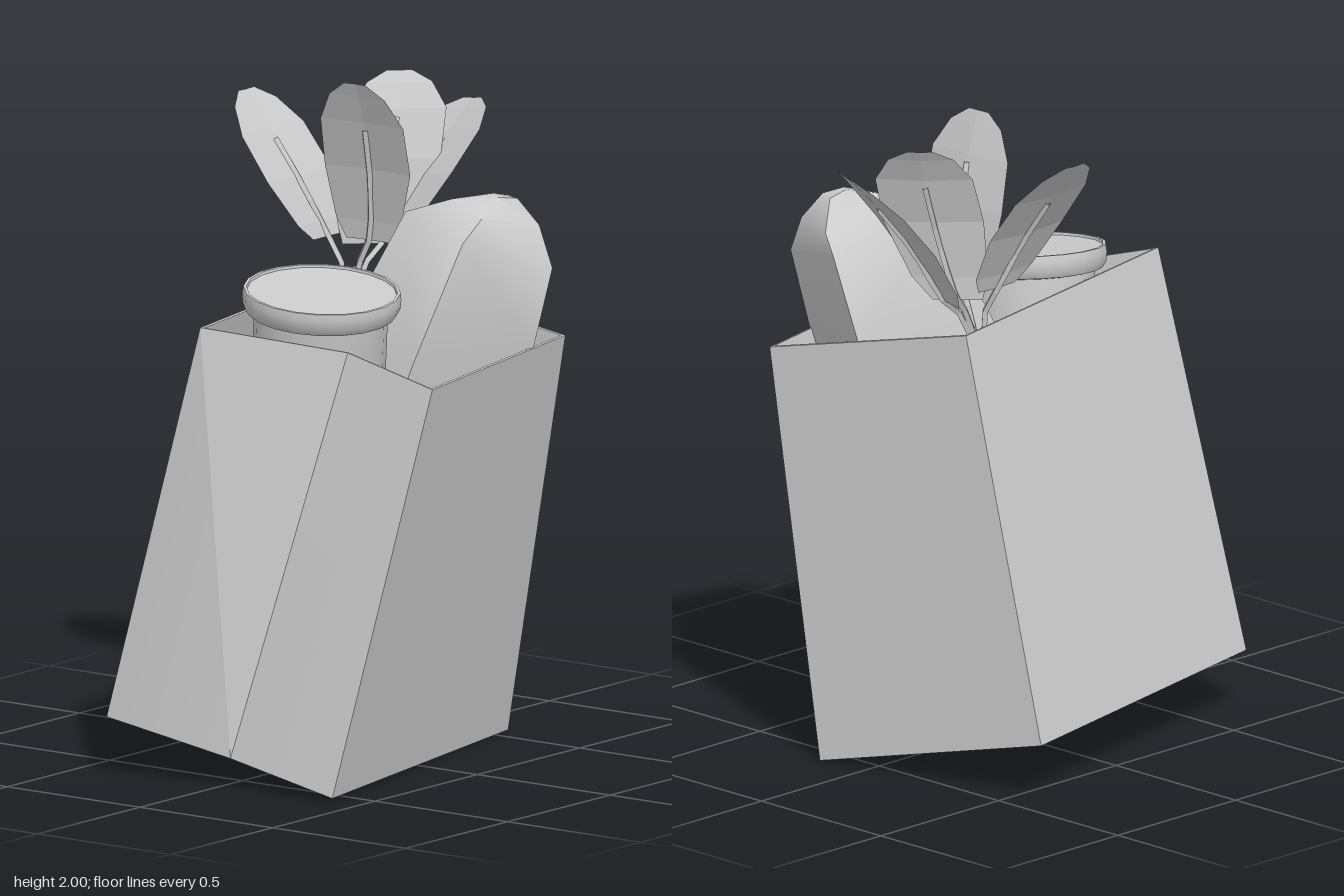
import * as THREE from 'three';
import { toCreasedNormals } from 'three/addons/utils/BufferGeometryUtils.js';

const V = (x, y, z) => new THREE.Vector3(x, y, z);
const smooth = () => new THREE.MeshStandardMaterial({ color: 0xcccccc, side: THREE.DoubleSide });
const thin = () => new THREE.MeshStandardMaterial({ color: 0xcccccc, flatShading: true, side: THREE.DoubleSide });

function named(name, geometry, material) {
  const mesh = new THREE.Mesh(geometry, material);
  mesh.name = name;
  return mesh;
}

function fromTriangles(points, index) {
  const g = new THREE.BufferGeometry().setFromPoints(points);
  g.setIndex(index);
  const out = g.toNonIndexed();
  out.computeVertexNormals();
  return out;
}

// Closed rings, counterclockwise from above, joined in order and capped at both ends.
// Each quad is split along its shorter diagonal, so inner and outer walls agree.
function loft(rings) {
  const n = rings[0].length;
  const points = rings.flat();
  const index = [];
  for (let r = 0; r < rings.length - 1; r++) {
    for (let i = 0; i < n; i++) {
      const a = r * n + i, b = r * n + (i + 1) % n, c = b + n, d = a + n;
      if (points[a].distanceTo(points[c]) < points[b].distanceTo(points[d])) index.push(a, b, c, a, c, d);
      else index.push(a, b, d, b, c, d);
    }
  }
  const last = (rings.length - 1) * n;
  for (let i = 1; i < n - 1; i++) {
    index.push(0, i + 1, i, last, last + i, last + i + 1);
  }
  return fromTriangles(points, index);
}

// Ring pulled towards its own centre, for the inner wall of the bag
function inset(ring, amount, lift) {
  const c = ring.reduce((s, p) => s.add(p), V(0, 0, 0)).divideScalar(ring.length);
  return ring.map(p => p.clone().lerp(c, amount).add(V(0, lift, 0)));
}

// Leaf blade along a bent midrib, with a slight fold across it
function leafBlade(curve, side, halfWidth) {
  const widths = [[0, 0.5], [0.12, 0.76], [0.45, 1], [0.75, 0.97], [0.92, 0.65], [1, 0.25]];
  const points = [], index = [];
  widths.forEach(([t, w], r) => {
    const p = curve.getPoint(t);
    const fold = side.clone().cross(curve.getTangent(t)).multiplyScalar(0.06 * halfWidth * w);
    for (const s of [-1, 0, 1]) {
      const q = p.clone().addScaledVector(side, s * w * halfWidth);
      points.push(s ? q.add(fold) : q);
    }
    if (r) for (const k of [0, 1]) {
      const a = (r - 1) * 3 + k;
      index.push(a, a + 1, a + 4, a, a + 4, a + 3);
    }
  });
  return fromTriangles(points, index);
}

export function createModel() {
  const model = new THREE.Group();
  model.name = 'groceryBag';

  // Leaning paper bag, with a folded gusset on one side
  const bottom = [V(-0.61, 0.09, 0.04), V(-0.605, 0.015, 0.42), V(0.585, 0, 0.165), V(0.42, 0.175, -0.6), V(-0.69, 0.18, -0.365)];
  const top = [V(-0.335, 1.31, 0.27), V(-0.345, 1.24, 0.597), V(0.56, 1.235, 0.4), V(0.415, 1.385, -0.28), V(-0.615, 1.39, -0.07)];
  const bag = loft([bottom, top, inset(top, 0.024, 0), inset(bottom, 0.024, 0.015)]);
  model.add(named('paperBag', toCreasedNormals(bag, 0.5), smooth()));

  // Jar with a rounded lid
  const profile = [[0, -1], [0.18, -1], [0.2, -0.97], [0.2, -0.075], [0.223, -0.07],
    [0.236, -0.05], [0.238, -0.02], [0.235, 0], [0.226, 0], [0.224, -0.008], [0, -0.008]];
  const jar = named('jar', toCreasedNormals(
    new THREE.LatheGeometry(profile.map(([x, y]) => new THREE.Vector2(x, y)), 20), 0.7), smooth());
  jar.position.set(-0.208, 1.458, 0.075);
  jar.quaternion.setFromUnitVectors(V(0, 1, 0), V(-0.08, 0.985, 0.11).normalize());
  model.add(jar);

  // Four-sided loaf, narrowing to a blunt tip
  const loaf = loft([
    [V(0.22, 0.7, 0.32), V(0.36, 0.75, 0.03), V(-0.12, 0.8, -0.18), V(-0.22, 0.75, 0.2)],
    [V(0.34, 1.24, 0.45), V(0.45, 1.24, 0.12), V(0.03, 1.24, -0.06), V(-0.05, 1.24, 0.3)],
    [V(0.38, 1.48, 0.49), V(0.49, 1.54, 0.2), V(0.16, 1.64, 0.106), V(0.07, 1.59, 0.39)],
    [V(0.4, 1.6, 0.425), V(0.465, 1.6, 0.26), V(0.24, 1.68, 0.22), V(0.19, 1.645, 0.37)],
    [V(0.365, 1.68, 0.37), V(0.39, 1.68, 0.315), V(0.325, 1.695, 0.31), V(0.3, 1.69, 0.345)],
  ]);
  model.add(named('loaf', toCreasedNormals(loaf, 0.85), smooth()));

  // Leafy greens: blade base, bend and tip, direction of width, half width
  const leaves = [
    [V(0.27, 1.5, -0.27), V(0.21, 1.69, -0.333), V(0.21, 1.925, -0.535), V(1, 0, 0), 0.155],
    [V(0.37, 1.47, -0.2), V(0.44, 1.77, -0.13), V(0.54, 1.97, -0.21), V(0.68, 0, 0.73), 0.15],
    [V(0.3, 1.5, -0.14), V(0.28, 1.75, -0.1), V(0.18, 2.0, -0.1), V(0.05, 0, 1), 0.155],
    [V(0.4, 1.47, -0.17), V(0.5, 1.71, -0.1), V(0.68, 1.885, -0.04), V(-0.2, 0.15, 1), 0.16],
  ];
  const greens = new THREE.Group();
  greens.name = 'leafyGreens';
  for (const [base, bend, tip, side, half] of leaves) {
    const rib = new THREE.QuadraticBezierCurve3(base, bend, tip);
    greens.add(named('leaf', leafBlade(rib, side.normalize(), half), thin()));
    const foot = V(0.24, 0.95, -0.24).lerp(base, 0.1);
    const neck = V(0.29, 1.36, -0.2).lerp(base, 0.4);
    const path = new THREE.CatmullRomCurve3([foot, neck, base, rib.getPoint(0.35), rib.getPoint(0.7)]);
    greens.add(named('stem', new THREE.TubeGeometry(path, 12, 0.011, 4), thin()));
  }
  model.add(greens);
  return model;
}
